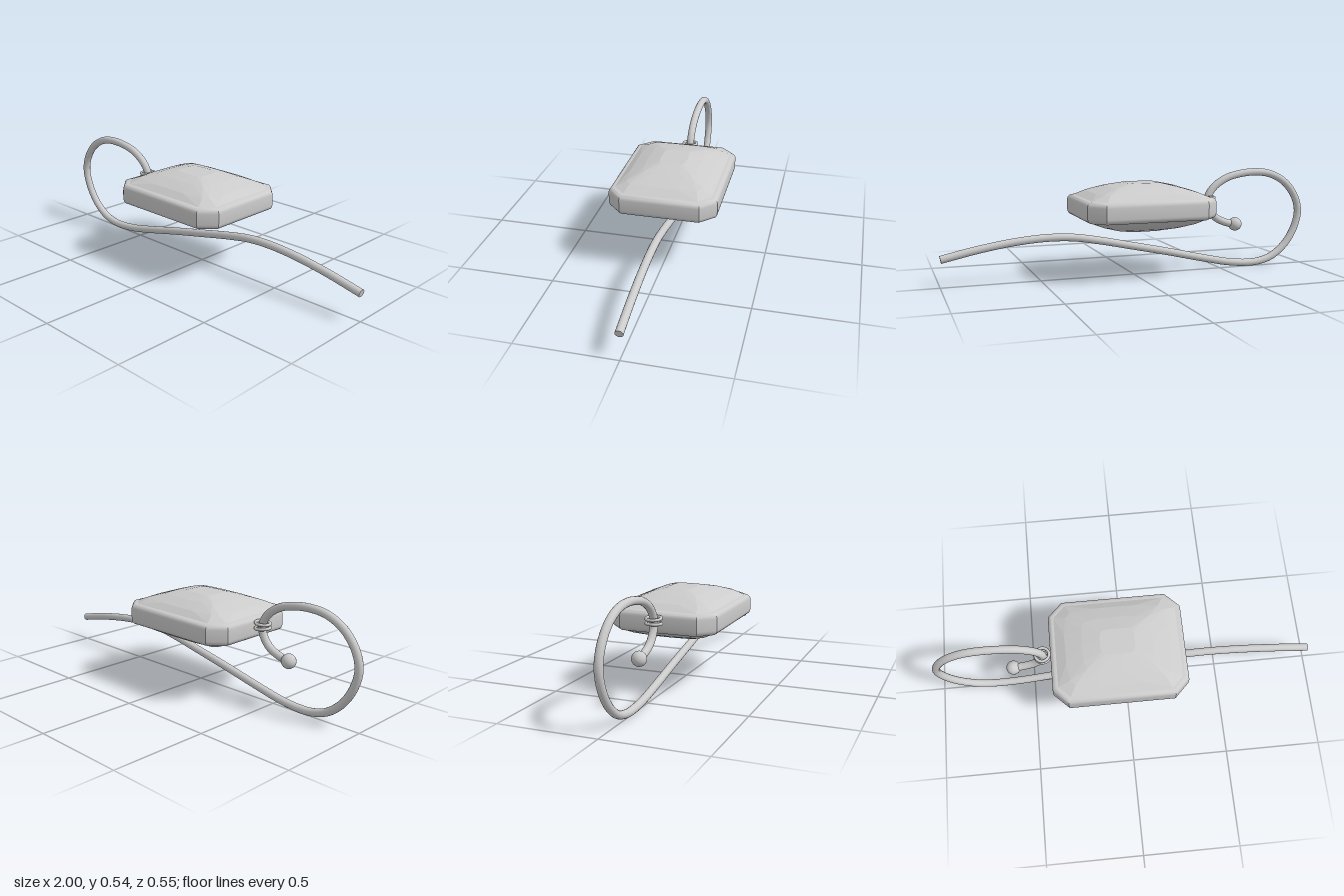
import * as THREE from 'three';
import { toCreasedNormals } from 'three/addons/utils/BufferGeometryUtils.js';
import { ConvexGeometry } from 'three/addons/geometries/ConvexGeometry.js';

const CX = -0.037, CY = 0.365; // centre of the pendant

// Rectangle with cut corners, as 8 points
function cutRect(a, b, c) {
  return [[a, c - b], [a, b - c], [a - c, b], [c - a, b], [-a, b - c], [-a, c - b], [c - a, -b], [a - c, -b]]
    .map(([x, y]) => new THREE.Vector2(x, y));
}

const midpoints = (pts) => pts.map((p, i) => p.clone().lerp(pts[(i + 1) % pts.length], 0.5));

// Faceted cushion: staggered rings that rise to a small flat table, mirrored below
function gemGeometry() {
  const edge = cutRect(0.315, 0.247, 0.06);
  let ring = [];
  edge.forEach((p, i) => ring.push(p, p.clone().lerp(edge[(i + 1) % 8], 0.5)));
  const points = [];
  for (const [scale, height] of [[1, 0.054], [0.84, 0.08], [0.57, 0.107], [0.28, 0.126]]) {
    for (const p of ring) {
      for (const side of [1, -1]) points.push(new THREE.Vector3(p.x * scale, side * height, p.y * scale));
    }
    ring = midpoints(ring);
  }
  return new ConvexGeometry(points);
}

// Rounded band around the gem
function bandGeometry() {
  const geo = new THREE.ExtrudeGeometry(new THREE.Shape(cutRect(0.318, 0.25, 0.06)), {
    depth: 0.055, bevelThickness: 0.027, bevelSize: 0.026, bevelSegments: 5,
  });
  geo.translate(0, 0, -0.0275);
  geo.rotateX(-Math.PI / 2);
  return toCreasedNormals(geo, 0.6);
}

export function createModel() {
  const group = new THREE.Group();
  const material = new THREE.MeshStandardMaterial({ color: 0xcccccc });
  const facetMaterial = new THREE.MeshStandardMaterial({ color: 0xcccccc, flatShading: true });
  const add = (name, geo, x, y, z = 0, mat = material) => {
    const mesh = new THREE.Mesh(geo, mat);
    mesh.name = name;
    mesh.position.set(x, y, z);
    group.add(mesh);
    return mesh;
  };

  // Pendant
  add('gem', gemGeometry(), CX, CY, 0, facetMaterial);
  add('band', bandGeometry(), CX, CY);

  // Hook wire, from the ball end round the loop to the long tail
  const path = [
    [-0.588, 0.243], [-0.53, 0.255], [-0.465, 0.288], [-0.425, 0.345], [-0.422, 0.395], [-0.455, 0.448],
    [-0.53, 0.497], [-0.62, 0.52], [-0.71, 0.526], [-0.8, 0.513], [-0.89, 0.465], [-0.955, 0.385],
    [-0.979, 0.3], [-0.957, 0.205], [-0.9, 0.115], [-0.82, 0.052], [-0.74, 0.027], [-0.66, 0.023],
    [-0.55, 0.034], [-0.4, 0.065], [-0.2, 0.111], [0, 0.154], [0.2, 0.196], [0.33, 0.217],
    [0.46, 0.222], [0.62, 0.211], [0.8, 0.184], [0.995, 0.143],
  ];
  const curve = new THREE.CatmullRomCurve3(path.map(([x, y]) => new THREE.Vector3(x, y, 0)));
  add('hookWire', new THREE.TubeGeometry(curve, 160, 0.02, 16), 0, 0);

  // Flat cap on the tail end
  const cap = add('wireEndCap', new THREE.CircleGeometry(0.02, 16), 0.995, 0.143);
  cap.lookAt(new THREE.Vector3(0.995, 0.143, 0).add(curve.getTangent(1)));

  add('ballEnd', new THREE.SphereGeometry(0.037, 24, 16), -0.588, 0.243);

  // Two jump rings threaded on the wire, and the peg joining them to the band
  for (const [y, tilt] of [[0.398, 0.08], [0.373, -0.08]]) {
    const ring = add('jumpRing', new THREE.TorusGeometry(0.036, 0.008, 10, 32), -0.422, y);
    ring.rotation.set(Math.PI / 2, tilt, 0);
  }
  const peg = add('peg', new THREE.CylinderGeometry(0.01, 0.01, 0.05, 12), -0.375, 0.37);
  peg.rotation.z = Math.PI / 2;

  return group;
}
